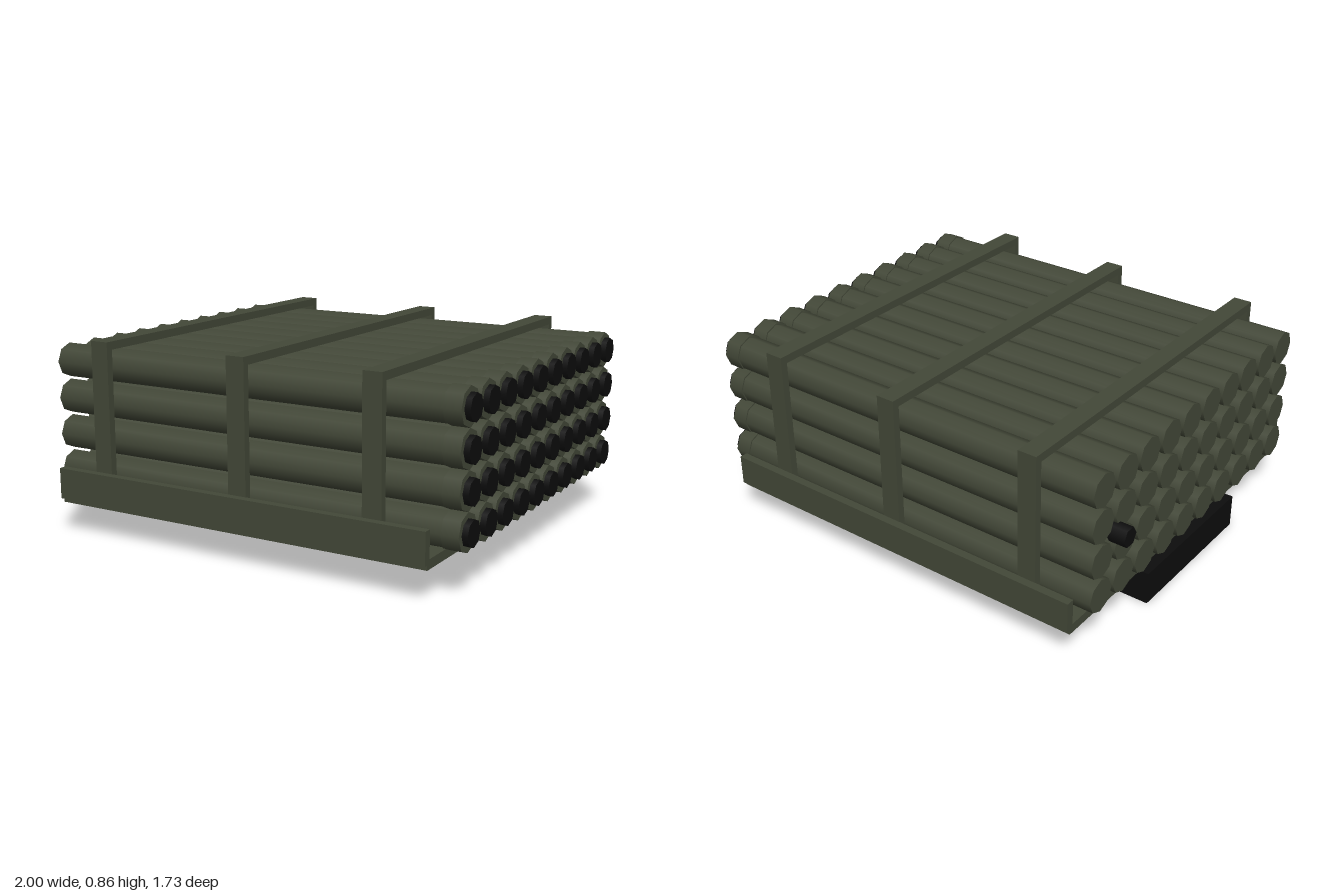
import * as THREE from 'three';

export function createModel() {
  const root = new THREE.Group();
  root.name = 'tubeLauncherPack';

  const green = new THREE.MeshStandardMaterial({ color: 0x434838 });
  green.name = 'olive green';
  const black = new THREE.MeshStandardMaterial({ color: 0x0d0d0d });
  black.name = 'black';

  // box given by its minimum and maximum corners
  const box = (name, mat, x0, x1, y0, y1, z0, z1, parent = root) => {
    const m = new THREE.Mesh(new THREE.BoxGeometry(x1 - x0, y1 - y0, z1 - z0), mat);
    m.position.set((x0 + x1) / 2, (y0 + y1) / 2, (z0 + z1) / 2);
    m.name = name;
    parent.add(m);
  };

  // cylinder geometry lying along x
  const rod = (r, x0, x1, sides) =>
    new THREE.CylinderGeometry(r, r, x1 - x0, sides).rotateZ(-Math.PI / 2).translate((x0 + x1) / 2, 0, 0);

  // tubes: 4 rows of 10, each with a muzzle collar and a dark bore plug
  const tubeGeo = rod(0.074, -0.94, 0.95, 8);
  const collarGeo = rod(0.08, 0.9, 0.975, 8);
  const boreGeo = rod(0.056, 0.96, 1.0, 8);
  for (let row = 0; row < 4; row++) {
    for (let col = 0; col < 10; col++) {
      const tube = new THREE.Group();
      tube.name = 'launchTube';
      const parts = [['barrel', tubeGeo, green], ['muzzleCollar', collarGeo, green], ['bore', boreGeo, black]];
      for (const [name, geo, mat] of parts) {
        const m = new THREE.Mesh(geo, mat);
        m.name = name;
        tube.add(m);
      }
      tube.position.set(0, 0.262 + row * 0.159, (col - 4.5) * 0.1585);
      root.add(tube);
    }
  }

  // tray: floor plate and two side rails
  box('trayFloor', green, -0.89, 0.875, 0.135, 0.175, -0.845, 0.845);
  for (const s of [-1, 1]) {
    box('sideRail', green, -0.89, 0.875, 0.155, 0.29, s * 0.845 - 0.018, s * 0.845 + 0.018);
  }

  // three hoops over the tubes
  for (const x of [-0.672, 0.015, 0.63]) {
    const hoop = new THREE.Group();
    hoop.name = 'hoop';
    box('hoopTop', green, x - 0.042, x + 0.042, 0.82, 0.855, -0.828, 0.828, hoop);
    for (const s of [-1, 1]) {
      box('hoopPost', green, x - 0.042, x + 0.042, 0.17, 0.83, s * 0.812 - 0.016, s * 0.812 + 0.016, hoop);
    }
    root.add(hoop);
  }

  // black box under the rear of the tray
  box('controlBox', black, -0.94, -0.79, 0, 0.148, -0.355, 0.355);

  // small connector on the rear end
  const plug = new THREE.Mesh(rod(0.043, -1.0, -0.92, 6), black);
  plug.name = 'connector';
  plug.position.set(0, 0.503, -0.617);
  root.add(plug);

  return root;
}
